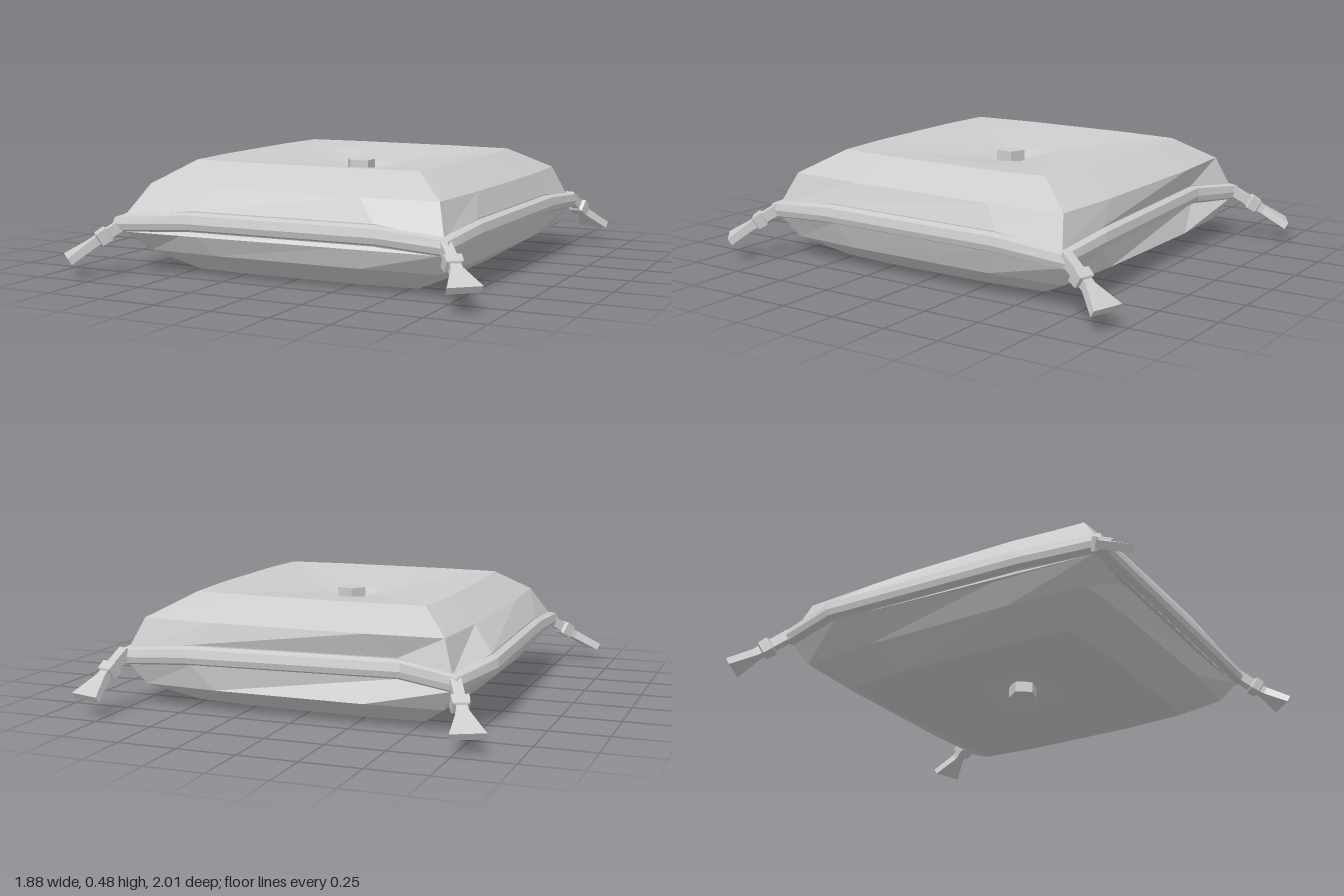
import * as THREE from 'three';

const material = new THREE.MeshStandardMaterial({ color: 0xcccccc, flatShading: true });

// Skins a list of rings (counterclockwise seen from the last ring) and closes both ends.
function loft(rings, name) {
  const pos = [];
  const tri = (...p) => p.forEach((v) => pos.push(v.x, v.y, v.z));
  const n = rings[0].length;
  for (let r = 0; r < rings.length - 1; r++) {
    for (let i = 0; i < n; i++) {
      const j = (i + 1) % n, a = rings[r], b = rings[r + 1];
      tri(a[i], a[j], b[j]);
      tri(a[i], b[j], b[i]);
    }
  }
  const first = rings[0], last = rings[rings.length - 1];
  for (let i = 1; i < n - 1; i++) {
    tri(first[0], first[i + 1], first[i]);
    tri(last[0], last[i], last[i + 1]);
  }
  const geo = new THREE.BufferGeometry();
  geo.setAttribute('position', new THREE.Float32BufferAttribute(pos, 3));
  geo.computeVertexNormals();
  const mesh = new THREE.Mesh(geo, material);
  mesh.name = name;
  return mesh;
}

// Slightly uneven seam outline: each corner is followed by two points along its side.
const outline = [
  [-0.75, 0.82], [-0.42, 0.795], [0.45, 0.775],
  [0.76, 0.78], [0.775, 0.45], [0.785, -0.42],
  [0.79, -0.75], [0.48, -0.755], [-0.45, -0.70],
  [-0.71, -0.78], [-0.79, -0.47], [-0.76, 0.45],
];
const seamRing = (scale, yCorner, ySide) => outline.map(([x, z], i) =>
  new THREE.Vector3(x * scale, i % 3 ? ySide : yCorner, z * scale));

// Four-cornered ring whose sides bow outward.
function bowedRing(corners, bow, y) {
  const out = [[0, 1], [1, 0], [0, -1], [-1, 0]];
  const ring = [];
  corners.forEach(([x, z], i) => {
    const [nx, nz] = corners[(i + 1) % 4];
    [0, 0.25, 0.75].forEach((t) => {
      const b = t ? bow : 0;
      ring.push(new THREE.Vector3(x + (nx - x) * t + out[i][0] * b, y, z + (nz - z) * t + out[i][1] * b));
    });
  });
  return ring;
}

export function createModel() {
  const model = new THREE.Group();
  model.name = 'cushion';

  // Stuffed body: upper half from seam to tufted centre, mirrored below
  const upper = [
    seamRing(0.955, 0.255, 0.295),
    bowedRing([[-0.64, 0.69], [0.68, 0.68], [0.69, -0.68], [-0.63, -0.69]], 0.02, 0.39),
    bowedRing([[-0.5, 0.54], [0.53, 0.53], [0.53, -0.5], [-0.5, -0.53]], 0.02, 0.485),
    bowedRing([[-0.31, 0.36], [0.36, 0.36], [0.36, -0.33], [-0.31, -0.33]], 0.04, 0.47),
    bowedRing([[-0.11, 0.13], [0.15, 0.13], [0.15, -0.12], [-0.11, -0.12]], 0.03, 0.44),
    bowedRing([[-0.02, 0.04], [0.06, 0.04], [0.06, -0.03], [-0.02, -0.03]], 0.01, 0.41),
  ];
  const lower = upper.slice(1).reverse().map((ring) =>
    ring.map((p) => new THREE.Vector3(p.x, 0.495 - p.y, p.z)));
  lower.push(seamRing(0.955, 0.195, 0.21));
  model.add(loft([...lower, ...upper], 'stuffedBody'));

  // Piping around the seam
  model.add(loft([
    seamRing(0.95, 0.19, 0.208), seamRing(0.99, 0.2, 0.22), seamRing(1, 0.225, 0.245),
    seamRing(0.99, 0.255, 0.28), seamRing(0.95, 0.265, 0.292),
  ], 'piping'));

  // Tufting buttons, top and bottom
  [['topButton', 0.435], ['bottomButton', 0.06]].forEach(([name, y]) => {
    const button = new THREE.Mesh(new THREE.CylinderGeometry(0.065, 0.065, 0.05, 5), material);
    button.name = name;
    button.rotation.y = -Math.PI / 2;
    button.position.set(0.02, y, 0.01);
    model.add(button);
  });

  // Corner tassels: [fraction of length, half width, half thickness]
  const sections = [
    [0, 0.022, 0.022], [0.3, 0.022, 0.022], [0.33, 0.036, 0.03], [0.48, 0.034, 0.028],
    [0.5, 0.022, 0.02], [0.58, 0.024, 0.018], [1, 0.072, 0.016],
  ];
  const tassels = [
    ['frontRightTassel', [-0.71, 0.235, 0.77], [-0.89, 0.085, 0.945]],
    ['frontLeftTassel', [0.73, 0.235, 0.75], [0.875, 0.105, 0.91]],
    ['backLeftTassel', [0.76, 0.25, -0.73], [0.825, 0.09, -0.95]],
    ['backRightTassel', [-0.69, 0.235, -0.75], [-0.805, 0.085, -0.97]],
  ];
  tassels.forEach(([name, from, to]) => {
    const start = new THREE.Vector3(...from), end = new THREE.Vector3(...to);
    const dir = end.clone().sub(start).normalize();
    const side = new THREE.Vector3(0, 1, 0).cross(dir).normalize();
    const up = dir.clone().cross(side);
    const rings = sections.map(([t, w, h]) => [[-1, -1], [1, -1], [1, 1], [-1, 1]].map(([a, b]) =>
      start.clone().lerp(end, t).addScaledVector(side, a * w).addScaledVector(up, b * h)));
    model.add(loft(rings, name));
  });

  return model;
}
